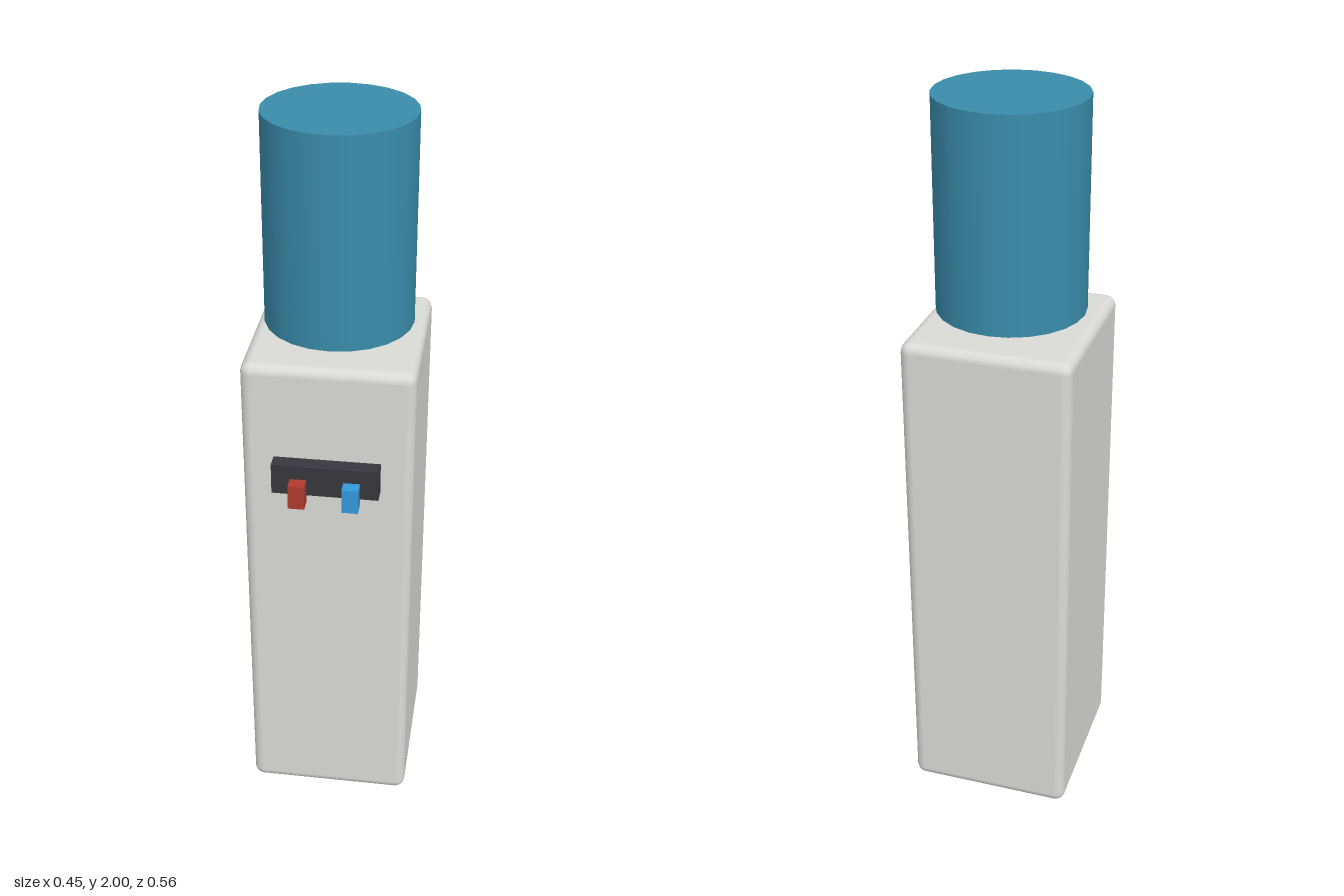
import * as THREE from 'three';
import { RoundedBoxGeometry } from 'three/addons/geometries/RoundedBoxGeometry.js';

export function createModel() {
  const model = new THREE.Group();
  model.name = 'waterDispenser';

  const material = (name, color) => {
    const m = new THREE.MeshStandardMaterial({ color });
    m.name = name;
    return m;
  };
  const casing = material('lightGreyCasing', 0xdadad6);
  const water = material('bottleBlue', 0x3a8cab);
  const dark = material('darkPanel', 0x38373d);
  const hot = material('hotRed', 0xb03a2e);
  const cold = material('coldBlue', 0x3498db);

  const add = (name, geometry, mat, x, y, z) => {
    const mesh = new THREE.Mesh(geometry, mat);
    mesh.name = name;
    mesh.position.set(x, y, z);
    model.add(mesh);
  };

  // Cabinet with softened edges
  add('cabinet', new RoundedBoxGeometry(0.452, 1.406, 0.478, 2, 0.028), casing, 0, 0.703, -0.04);

  // Upturned bottle, its neck sunk into the cabinet top
  add('bottleNeck', new THREE.CylinderGeometry(0.07, 0.07, 0.08, 24), water, 0, 1.41, -0.04);
  add('bottle', new THREE.CylinderGeometry(0.197, 0.197, 0.56, 24), water, 0, 1.72, -0.04);

  // Tap panel, set slightly into the cabinet front
  add('tapPanel', new THREE.BoxGeometry(0.281, 0.085, 0.056), dark, 0, 1.102, 0.214);

  // Hot and cold taps
  const tap = new THREE.BoxGeometry(0.043, 0.068, 0.043);
  add('hotTap', tap, hot, -0.07, 1.072, 0.2565);
  add('coldTap', tap, cold, 0.07, 1.072, 0.2565);

  return model;
}
